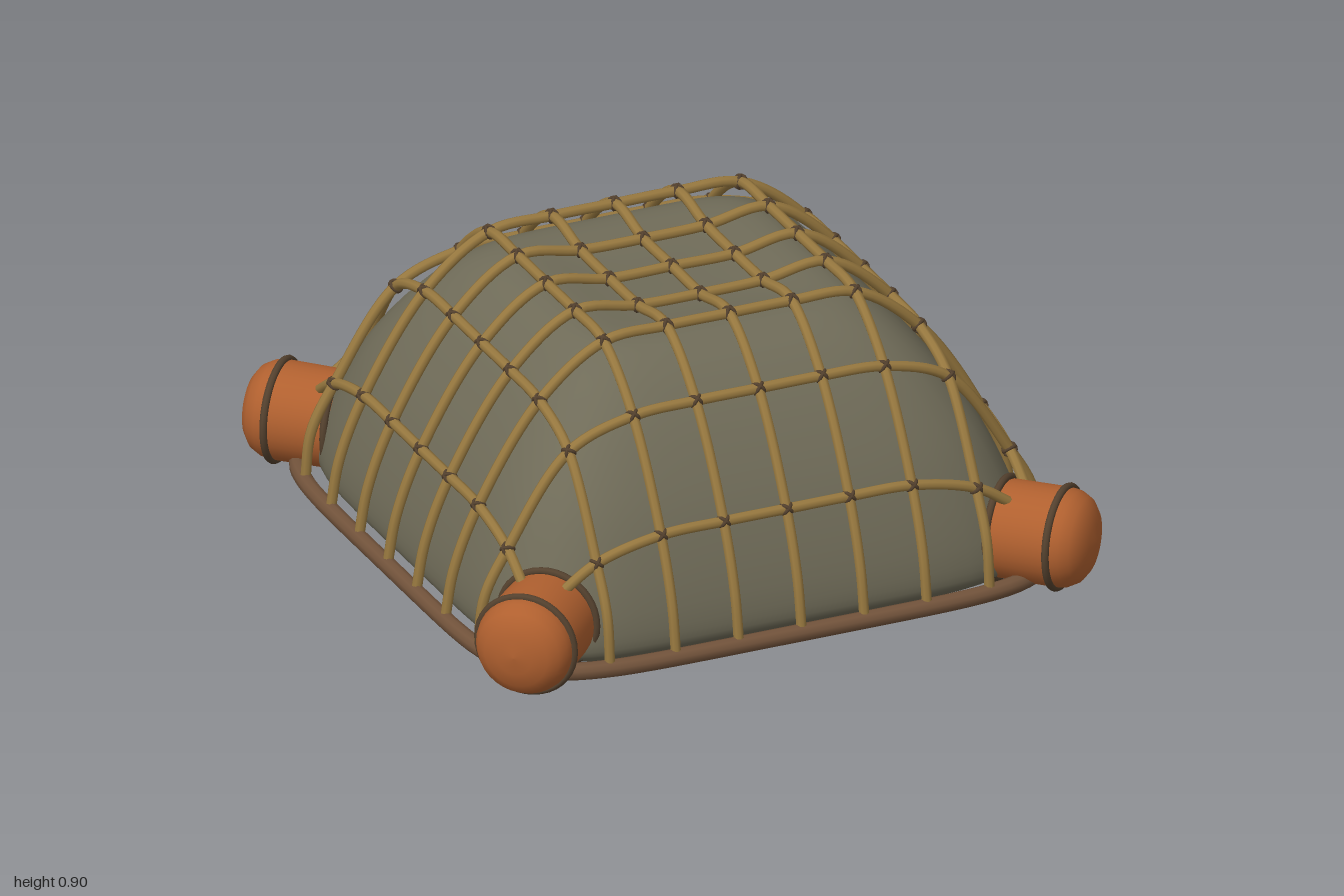
import * as THREE from 'three';
import { mergeVertices } from 'three/addons/utils/BufferGeometryUtils.js';

const V = (x, y, z) => new THREE.Vector3(x, y, z);
const mat = (color) => new THREE.MeshStandardMaterial({ color });
const cargoMat = mat(0x6f6b58), ropeMat = mat(0x97783f), rimMat = mat(0x72533b);
const floatMat = mat(0xb0602f), darkMat = mat(0x54412e);

const N = 6; // squareness of the rounded-square plan
const LINES = [-0.82, -0.62, -0.41, -0.205, 0, 0.205, 0.41, 0.62, 0.82];
const RIM = 0.93, RIM_Y = 0.05;

const norm = (x, z) => Math.pow(Math.abs(x) ** N + Math.abs(z) ** N, 1 / N);
const rimAt = (c) => Math.pow(RIM ** N - Math.abs(c) ** N, 1 / N);

// Height of the net, by rounded-square distance from the centre
const PROFILE = [[0, 0.85], [0.205, 0.85], [0.41, 0.876], [0.46, 0.865], [0.62, 0.72],
  [0.7, 0.63], [0.82, 0.41], [0.9, 0.22], [0.95, 0.05]];
function netHeight(x, z) {
  const r = norm(x, z);
  for (let i = 1; i < PROFILE.length; i++) {
    const [r0, y0] = PROFILE[i - 1], [r1, y1] = PROFILE[i];
    if (r <= r1) return y0 + ((y1 - y0) * (r - r0)) / (r1 - r0);
  }
  return RIM_Y;
}

function add(parent, name, geometry, material) {
  const mesh = new THREE.Mesh(geometry, material);
  mesh.name = name;
  parent.add(mesh);
  return mesh;
}

// Soft load: a lathed dome squared off in plan
function makeCargo() {
  const side = new THREE.CatmullRomCurve3([
    [0.85, 0.035], [0.878, 0.07], [0.87, 0.18], [0.79, 0.41], [0.7, 0.57], [0.6, 0.7],
    [0.5, 0.79], [0.4, 0.835], [0.2, 0.82], [0, 0.815],
  ].map(([r, y]) => V(r, y, 0))).getPoints(40);
  const points = [0, 0.3, 0.6].map((r) => new THREE.Vector2(r, 0.04));
  side.forEach((p) => points.push(new THREE.Vector2(Math.max(p.x, 0), p.y)));
  let geo = new THREE.LatheGeometry(points, 96);
  const pos = geo.attributes.position;
  for (let i = 0; i < pos.count; i++) {
    const x = pos.getX(i), z = pos.getZ(i), r = Math.hypot(x, z);
    if (r < 1e-5) continue;
    const k = r / norm(x, z);
    pos.setXYZ(i, x * k, pos.getY(i), z * k);
  }
  geo.deleteAttribute('normal');
  geo.deleteAttribute('uv');
  geo = mergeVertices(geo, 1e-4);
  geo.computeVertexNormals();
  return geo;
}

// One net rope lying along z at x = c
function makeRope(c) {
  const outer = Math.abs(c) > 0.8;
  const pts = LINES.filter((t) => !outer || Math.abs(t) < 0.8).map((t) => V(c, netHeight(c, t), t));
  const ends = outer ? [[0.75, 0.27]] : [[Math.min(0.9, rimAt(c) - 0.02), 0.21], [rimAt(c), RIM_Y]];
  for (const [z, y] of ends) {
    pts.unshift(V(c, y, -z));
    pts.push(V(c, y, z));
  }
  return new THREE.TubeGeometry(new THREE.CatmullRomCurve3(pts, false, 'centripetal'), 90, 0.0165, 8);
}

// Corner float, axis along +y from its inner end, with two lashings
function makeFloat() {
  const float = new THREE.Group();
  float.name = 'cornerFloat';
  const profile = [[0, 0], [0.11, 0], [0.14, 0.015], [0.15, 0.04], [0.152, 0.22],
    [0.146, 0.25], [0.13, 0.28], [0.1, 0.302], [0.055, 0.317], [0, 0.322]];
  add(float, 'floatBody', new THREE.LatheGeometry(profile.map(([r, y]) => new THREE.Vector2(r, y)), 32), floatMat);
  for (const y of [0.025, 0.215]) {
    const ring = add(float, 'floatLashing', new THREE.TorusGeometry(0.153, 0.012, 8, 40), darkMat);
    ring.rotation.x = Math.PI / 2;
    ring.position.y = y;
  }
  return float;
}

export function createModel() {
  const model = new THREE.Group();
  model.name = 'nettedCargo';
  add(model, 'cargo', makeCargo(), cargoMat);

  // Rope rim around the base
  const rim = [];
  for (let i = 0; i < 64; i++) {
    const a = (i / 64) * Math.PI * 2, x = Math.cos(a), z = Math.sin(a), k = RIM / norm(x, z);
    rim.push(V(x * k, RIM_Y, z * k));
  }
  add(model, 'rimRope', new THREE.TubeGeometry(new THREE.CatmullRomCurve3(rim, true), 160, 0.027, 10, true), rimMat);

  // Net ropes in both directions
  const net = new THREE.Group();
  net.name = 'net';
  model.add(net);
  for (const c of LINES) {
    const geo = makeRope(c);
    add(net, 'lengthRope', geo, ropeMat);
    add(net, 'crossRope', geo, ropeMat).rotation.y = Math.PI / 2;
  }

  // Crossed lashings at every net crossing
  const knotGeo = new THREE.TorusGeometry(0.019, 0.006, 6, 12);
  for (const x of LINES) for (const z of LINES) {
    if (Math.abs(x) > 0.8 && Math.abs(z) > 0.8) continue;
    const knot = new THREE.Group();
    knot.name = 'knot';
    knot.position.set(x, netHeight(x, z), z);
    const e = 0.02;
    const normal = V(netHeight(x - e, z) - netHeight(x + e, z), 2 * e, netHeight(x, z - e) - netHeight(x, z + e));
    knot.quaternion.setFromUnitVectors(V(0, 1, 0), normal.normalize());
    for (const s of [-1, 1]) add(knot, 'knotLoop', knotGeo, darkMat).rotation.y = (s * Math.PI) / 4;
    net.add(knot);
  }

  // Floats pointing outwards at the four corners
  for (const sx of [-1, 1]) for (const sz of [-1, 1]) {
    const float = makeFloat();
    float.position.set(sx * 0.725, 0.165, sz * 0.725);
    float.quaternion.setFromUnitVectors(V(0, 1, 0), V(sx, 0, sz).normalize());
    model.add(float);
  }
  return model;
}
